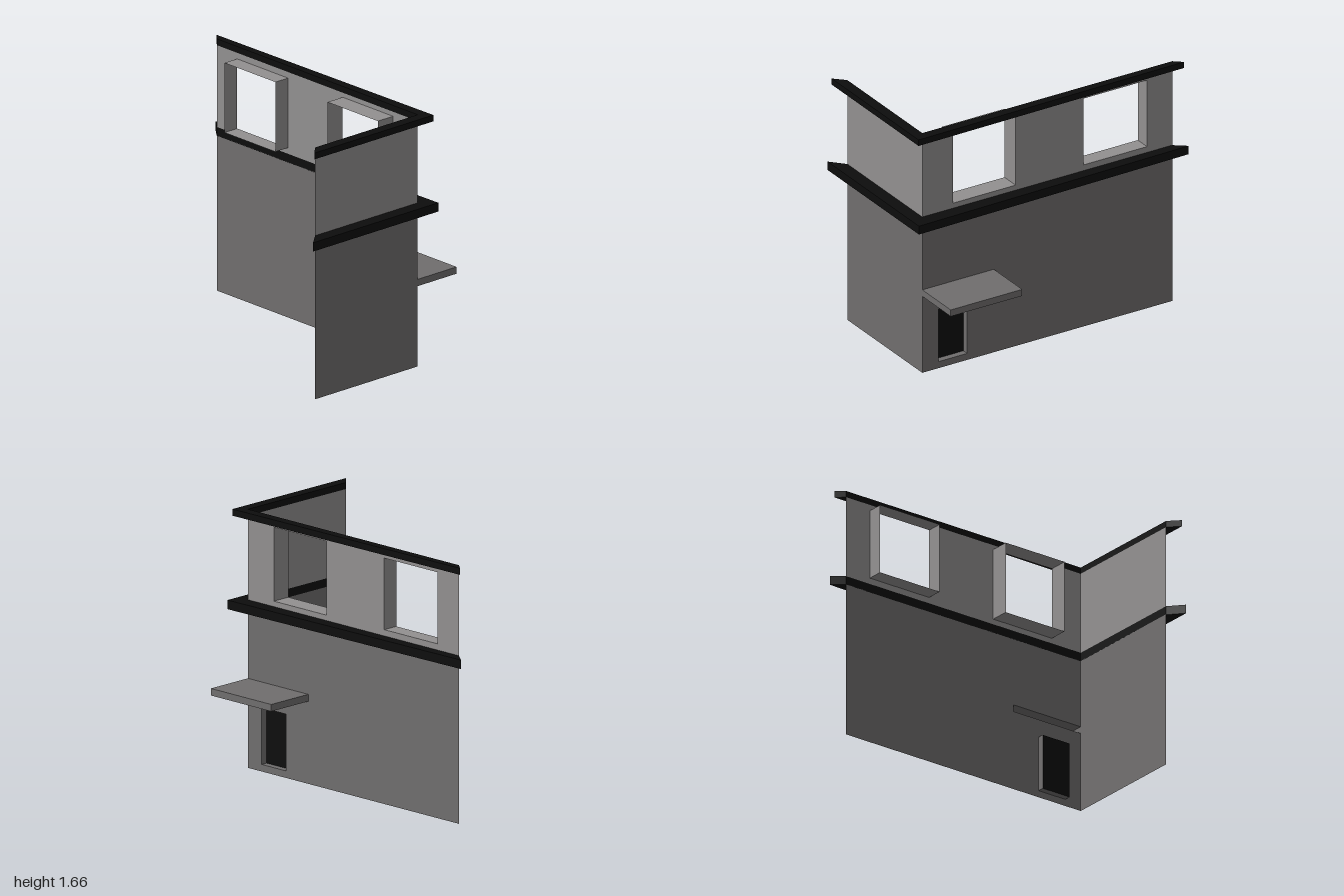
import * as THREE from 'three';

const mat = (name, color) => new THREE.MeshStandardMaterial({ name, color, side: THREE.DoubleSide, flatShading: true });

export function createModel() {
  const model = new THREE.Group();
  model.name = 'cornerFacade';
  const lowerGrey = mat('darkGreyWall', 0x706e6e);
  const upperGrey = mat('lightGreyWall', 0x929090);
  const black = mat('blackTrim', 0x0d0d0d);

  // Inner corner lines of the two walls
  const SIDE_X = 0.313, LEFT_X = -0.55, FRONT_Z = 0.915, BACK_Z = -0.92;

  const add = (name, geometry, material) => {
    const mesh = new THREE.Mesh(geometry, material);
    mesh.name = name;
    model.add(mesh);
    return mesh;
  };
  const vectors = (points) => points.map(([a, b]) => new THREE.Vector2(a, b));
  const rect = ({ z0, z1, y0, y1 }) => [[z0, y0], [z1, y0], [z1, y1], [z0, y1]];

  // Flat sheet in the side plane, drawn in (z, y), with openings
  const sideSheet = (name, outline, openings, x, material) => {
    const shape = new THREE.Shape(vectors(outline));
    openings.forEach((o) => shape.holes.push(new THREE.Path(vectors(rect(o)))));
    const geometry = new THREE.ShapeGeometry(shape).rotateY(-Math.PI / 2).translate(x, 0, 0);
    return add(name, geometry, material);
  };

  // Flat sheet in the front plane
  const frontSheet = (name, y0, y1, material) => {
    const geometry = new THREE.PlaneGeometry(SIDE_X - LEFT_X, y1 - y0);
    geometry.translate((SIDE_X + LEFT_X) / 2, (y0 + y1) / 2, FRONT_Z);
    return add(name, geometry, material);
  };

  // Four thin sides running from the side wall to x, following an opening
  const sleeve = (name, opening, x, material) => {
    const corners = rect(opening);
    const positions = [];
    corners.forEach(([z, y], i) => {
      const [zn, yn] = corners[(i + 1) % 4];
      positions.push(SIDE_X, y, z, x, y, z, x, yn, zn, SIDE_X, y, z, x, yn, zn, SIDE_X, yn, zn);
    });
    const geometry = new THREE.BufferGeometry();
    geometry.setAttribute('position', new THREE.Float32BufferAttribute(positions, 3));
    geometry.computeVertexNormals();
    return add(name, geometry, material);
  };

  // L-shaped ledge with mitred ends, drawn in plan as (x, z)
  const ledge = (name, y0, y1, outer) => {
    const plan = [[LEFT_X, FRONT_Z], ...outer, [SIDE_X, BACK_Z], [SIDE_X, FRONT_Z]];
    const shape = new THREE.Shape(vectors(plan.map(([x, z]) => [x, -z])));
    const geometry = new THREE.ExtrudeGeometry(shape, { depth: y1 - y0, bevelEnabled: false });
    geometry.rotateX(-Math.PI / 2).translate(0, y0, 0);
    return add(name, geometry, black);
  };

  const door = { z0: 0.585, z1: 0.795, y0: 0.045, y1: 0.41 };
  const awning = { z0: 0.39, z1: FRONT_Z, y0: 0.53, y1: 0.575 };
  const windows = [
    { z0: 0.23, z1: 0.69, y0: 1.115, y1: 1.59, x: 0.185 },
    { z0: -0.735, z1: -0.27, y0: 1.12, y1: 1.58, x: 0.207 },
  ];

  // Lower storey; the side wall is notched where the hollow awning starts
  frontSheet('lowerFrontWall', 0, 1.025, lowerGrey);
  sideSheet('lowerSideWall', [
    [BACK_Z, 0], [FRONT_Z, 0], [FRONT_Z, awning.y0], [awning.z0, awning.y0],
    [awning.z0, awning.y1], [FRONT_Z, awning.y1], [FRONT_Z, 1.025], [BACK_Z, 1.025],
  ], [door], SIDE_X, lowerGrey);

  // Recessed door
  sleeve('doorReveal', door, 0.27, lowerGrey);
  sideSheet('doorPanel', rect(door), [], 0.27, black);

  // Awning, open towards the inside
  sleeve('awningSides', awning, 0.64, lowerGrey);
  sideSheet('awningEdge', rect(awning), [], 0.64, lowerGrey);

  // Upper storey with deep window reveals
  frontSheet('upperFrontWall', 1.08, 1.62, upperGrey);
  sideSheet('upperSideWall', rect({ z0: BACK_Z, z1: FRONT_Z, y0: 1.08, y1: 1.62 }), windows, SIDE_X, upperGrey);
  windows.forEach((w, i) => sleeve(`windowReveal${i + 1}`, w, w.x, upperGrey));

  // Ledges
  ledge('middleLedge', 1.022, 1.08, [[-0.645, 1], [0.408, 1], [0.375, -1]]);
  ledge('roofLedge', 1.62, 1.662, [[-0.62, 0.985], [0.38, 0.985], [0.36, -0.975]]);

  return model;
}
